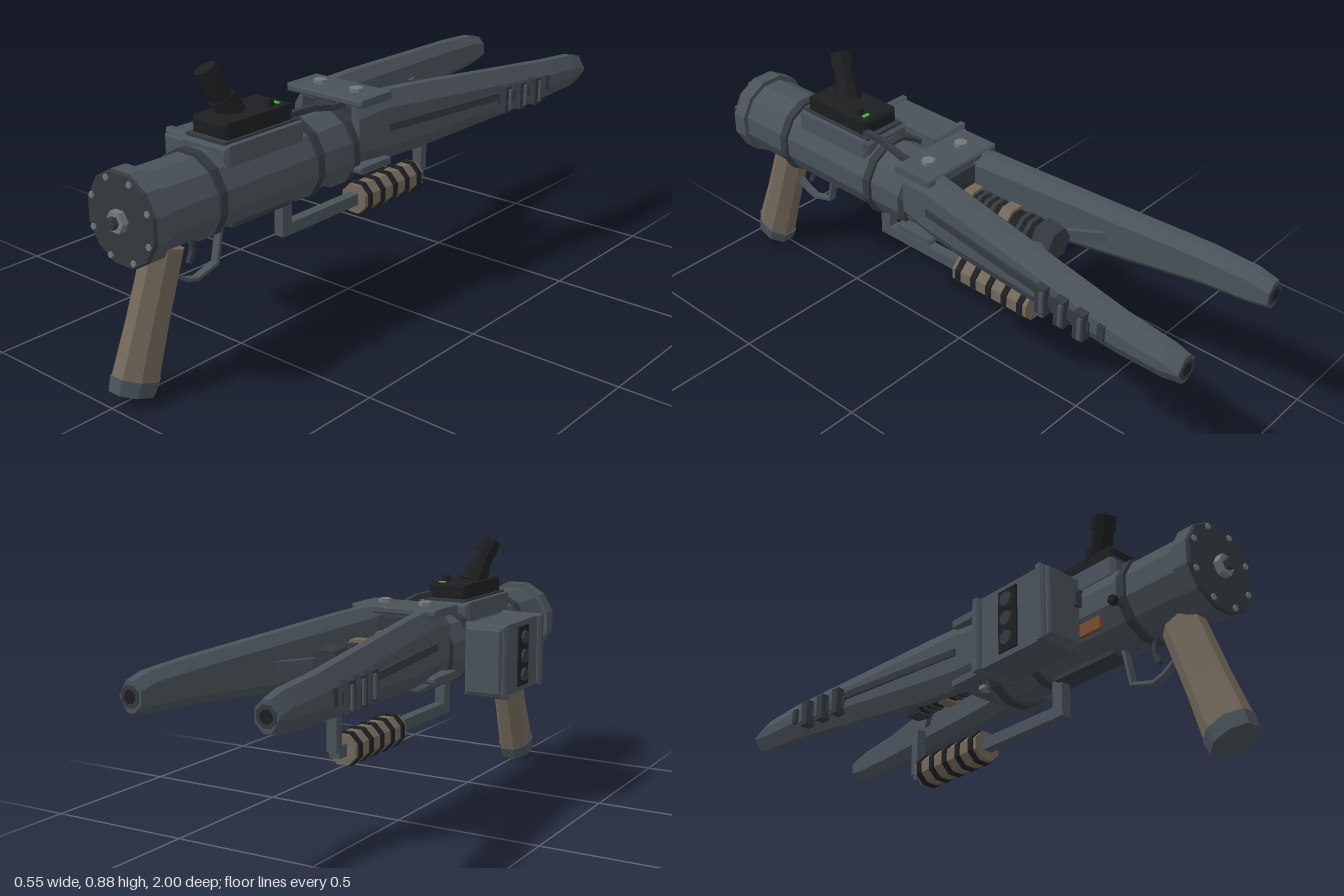
import * as THREE from 'three';

const mat = (color) => new THREE.MeshStandardMaterial({ color, flatShading: true });
const steel = mat(0x4a525a), dark = mat(0x34393f), black = mat(0x1c1e20);
const tan = mat(0x72675a), bolt = mat(0x74787a), copper = mat(0x7a4a2e), green = mat(0x33cc22);
const AXIS_Y = 0.54; // height of the barrel axis

export function createModel() {
  const model = new THREE.Group();
  model.name = 'launcher';
  model.position.x = 0.006;

  const add = (name, geo, material, x = 0, y = 0, z = 0, parent = model) => {
    const m = new THREE.Mesh(geo, material);
    m.name = name;
    m.position.set(x, y, z);
    parent.add(m);
    return m;
  };
  const box = (name, material, w, h, d, x, y, z) => add(name, new THREE.BoxGeometry(w, h, d), material, x, y, z);
  // Prism along z between z0 (rear) and z1, flat side down, r = distance to the flats
  const prismZ = (name, material, r0, r1, z0, z1, n, x = 0, y = AXIS_Y) => {
    const k = 1 / Math.cos(Math.PI / n);
    const g = new THREE.CylinderGeometry(r0 * k, r1 * k, z0 - z1, n).rotateY(Math.PI / n).rotateX(Math.PI / 2);
    return add(name, g, material, x, y, (z0 + z1) / 2);
  };
  // Square bar from p to q
  const bar = (name, material, p, q, w, h) => {
    const a = new THREE.Vector3(...p), b = new THREE.Vector3(...q);
    const m = new THREE.Mesh(new THREE.BoxGeometry(w, h, a.distanceTo(b) + Math.min(w, h) * 0.5), material);
    m.name = name;
    m.position.copy(a).lerp(b, 0.5);
    m.lookAt(b);
    model.add(m);
  };
  const path = (name, material, pts, w, h) => {
    for (let i = 0; i + 1 < pts.length; i++) bar(name, material, pts[i], pts[i + 1], w, h);
  };
  // Box with bevelled edges, extruded along z
  const bevelBox = (name, material, w, h, d, b, x, y, z) => {
    const W = w / 2 - b, H = h / 2 - b;
    const s = new THREE.Shape([[-W, -H], [W, -H], [W, H], [-W, H]].map((p) => new THREE.Vector2(...p)));
    const g = new THREE.ExtrudeGeometry(s, { depth: d - 2 * b, bevelSize: b, bevelThickness: b, bevelSegments: 1 });
    return add(name, g.translate(0, 0, b - d / 2), material, x, y, z);
  };

  // Main tube with rings
  prismZ('bodyTube', steel, 0.12, 0.12, 0.89, 0.08, 12);
  prismZ('rearFlange', steel, 0.135, 0.135, 0.925, 0.875, 12);
  prismZ('rearFace', dark, 0.13, 0.135, 0.934, 0.925, 12);
  for (const z of [0.68, 0.28]) prismZ('bodyRing', dark, 0.13, 0.13, z + 0.014, z - 0.014, 12);
  prismZ('forwardFlange', dark, 0.132, 0.132, 0.135, 0.105, 12);
  for (let i = 0; i < 8; i++) {
    const a = Math.PI / 8 + (i * Math.PI) / 4;
    prismZ('flangeBolt', bolt, 0.008, 0.008, 0.94, 0.93, 6, Math.cos(a) * 0.12, AXIS_Y + Math.sin(a) * 0.12);
  }
  prismZ('rearNut', bolt, 0.029, 0.029, 0.955, 0.93, 6);
  prismZ('rearStud', dark, 0.016, 0.016, 0.972, 0.95, 6);
  box('undersideRail', dark, 0.07, 0.02, 0.24, 0, 0.418, 0.44);

  // Pistol grip with end cap, tilted backwards
  const grip = new THREE.Group();
  grip.name = 'grip';
  grip.position.set(0, 0.026, 0.93);
  grip.rotation.x = -0.34;
  model.add(grip);
  const gripPart = (name, material, r0, r1, y0, y1) => {
    const g = new THREE.CylinderGeometry(r1, r0, y1 - y0, 8).rotateY(Math.PI / 8);
    add(name, g.scale(1.08, 1, 1.38), material, 0, (y0 + y1) / 2, 0, grip);
  };
  gripPart('gripCap', steel, 0.054, 0.058, 0, 0.045);
  gripPart('gripHandle', tan, 0.055, 0.05, 0.045, 0.2);
  gripPart('gripHandle', tan, 0.05, 0.048, 0.2, 0.42);

  // Trigger guard and trigger
  path('triggerGuard', steel, [[0, 0.325, 0.765], [0, 0.295, 0.72], [0, 0.282, 0.68], [0, 0.305, 0.6], [0, 0.42, 0.577]], 0.026, 0.01);
  path('trigger', dark, [[0, 0.42, 0.69], [0, 0.37, 0.685], [0, 0.34, 0.7]], 0.014, 0.014);

  // Foregrip on its bent carrier
  box('carrierRearPost', steel, 0.035, 0.13, 0.04, 0, 0.365, 0.312);
  box('carrierBar', steel, 0.035, 0.038, 0.7, 0, 0.318, -0.018);
  box('carrierFrontPost', steel, 0.035, 0.16, 0.03, 0, 0.4, -0.367);
  prismZ('foregrip', tan, 0.047, 0.047, -0.02, -0.325, 8, 0, 0.316);
  for (let i = 0; i < 5; i++) {
    const z = -0.045 - i * 0.064;
    prismZ('foregripRing', black, 0.052, 0.052, z + 0.01, z - 0.01, 8, 0, 0.316);
  }

  // Yoke holding the two prongs
  box('yokeCore', dark, 0.2, 0.18, 0.13, 0, 0.585, 0.045);
  bevelBox('yokeTopPlate', steel, 0.305, 0.025, 0.15, 0.006, 0, 0.695, 0.052);
  bevelBox('yokeBottomPlate', steel, 0.305, 0.022, 0.15, 0.006, 0, 0.484, 0.052);
  for (const s of [-1, 1]) for (const y of [0.711, 0.47]) {
    add('yokeBolt', new THREE.CylinderGeometry(0.022, 0.022, 0.018, 6), bolt, s * 0.073, y, 0.055);
  }

  // Prongs: [z, inner x, outer x, bottom y, top y, chamfer]
  const sections = [
    [0.11, 0.04, 0.132, 0.49, 0.69, 0.03],
    [-0.01, 0.055, 0.148, 0.48, 0.702, 0.03],
    [-0.15, 0.075, 0.168, 0.48, 0.697, 0.032],
    [-0.79, 0.166, 0.252, 0.525, 0.655, 0.028],
    [-0.94, 0.176, 0.256, 0.532, 0.645, 0.026],
    [-1.0, 0.18, 0.253, 0.543, 0.63, 0.025],
  ];
  for (const s of [-1, 1]) {
    const rings = sections.map(([z, a, b, lo, hi, c]) => {
      const r = [[b - c, lo], [b, lo + c * 1.6], [b, hi - c * 1.6], [b - c, hi], [a + c, hi], [a, hi - c], [a, lo + c], [a + c, lo]];
      const v = r.map(([x, y]) => new THREE.Vector3(s * x, y, z));
      return s > 0 ? v : v.reverse();
    });
    add('prong', loft(rings), steel);
    prismZ('prongMuzzle', dark, 0.03, 0.03, -0.96, -1.002, 8, s * 0.2165, 0.587);
    prismZ('prongBore', black, 0.018, 0.018, -0.96, -1.004, 8, s * 0.2165, 0.587);
    bar('prongRib', dark, [s * 0.148, 0.592, -0.01], [s * 0.218, 0.592, -0.5], 0.012, 0.024);
    // Cooling fins on the outer face
    for (const z of [-0.53, -0.605, -0.68]) {
      const x = 0.168 + (0.084 * (-0.15 - z)) / 0.64;
      box('fin', dark, 0.035, 0.09, 0.035, s * (x + 0.007), 0.578, z);
      box('finRidge', steel, 0.018, 0.07, 0.012, s * (x + 0.023), 0.578, z - 0.008);
    }
    box('finLink', dark, 0.014, 0.035, 0.2, s * 0.227, 0.578, -0.605).rotation.y = -s * 0.13;
    box('sideCatch', dark, 0.016, 0.05, 0.022, s * 0.248, 0.59, -0.75);
    // Struts to the centre emitter
    bar('emitterStrut', steel, [s * 0.03, 0.585, -0.34], [s * 0.125, 0.585, -0.48], 0.016, 0.03);
  }

  // Emitter between the prongs
  prismZ('emitterCore', black, 0.042, 0.042, 0.0, -0.36, 8, 0, 0.585);
  for (const [z0, z1] of [[0.03, 0], [-0.05, -0.085], [-0.2, -0.24]]) prismZ('emitterBand', tan, 0.052, 0.052, z0, z1, 8, 0, 0.585);
  for (const z of [-0.11, -0.14, -0.17, -0.28, -0.31]) prismZ('emitterRing', dark, 0.048, 0.048, z + 0.007, z - 0.007, 8, 0, 0.585);
  prismZ('emitterCap', dark, 0.052, 0.045, -0.34, -0.405, 6, 0, 0.585);

  // Control box with tilted eyepiece on a mounting saddle
  bevelBox('saddle', steel, 0.19, 0.06, 0.32, 0.012, 0, 0.652, 0.47);
  box('saddleTop', dark, 0.155, 0.012, 0.3, 0, 0.683, 0.47);
  bevelBox('controlBox', black, 0.14, 0.052, 0.27, 0.008, 0, 0.711, 0.47);
  const eyepiece = new THREE.Group();
  eyepiece.name = 'eyepiece';
  eyepiece.position.set(-0.016, 0.725, 0.5);
  eyepiece.quaternion.setFromUnitVectors(new THREE.Vector3(0, 1, 0), new THREE.Vector3(-0.035, 0.14, 0.064).normalize());
  model.add(eyepiece);
  for (const [name, r0, r1, y0, y1] of [['eyeCollar', 0.046, 0.041, 0, 0.06], ['eyeTube', 0.034, 0.034, 0.06, 0.12], ['eyeCup', 0.039, 0.036, 0.115, 0.16]]) {
    add(name, new THREE.CylinderGeometry(r1, r0, y1 - y0, 8), black, 0, (y0 + y1) / 2, 0, eyepiece);
  }
  add('dial', new THREE.CylinderGeometry(0.014, 0.017, 0.022, 6), black, 0.035, 0.746, 0.4);
  box('indicatorLamp', green, 0.024, 0.005, 0.01, 0.034, 0.738, 0.368);
  path('cable', dark, [[0.06, 0.7, 0.36], [0.068, 0.7, 0.25], [0.075, 0.685, 0.17], [0.07, 0.68, 0.1]], 0.018, 0.018);

  // Side case with rims, knobs and latch
  bevelBox('sideCase', steel, 0.13, 0.235, 0.31, 0.008, -0.202, 0.513, 0.37);
  for (const z of [0.235, 0.505]) bevelBox('caseRim', steel, 0.15, 0.243, 0.035, 0.008, -0.204, 0.513, z);
  for (const z of [0.216, 0.524]) bevelBox('caseEndPanel', steel, 0.125, 0.218, 0.026, 0.006, -0.204, 0.513, z);
  box('knobStrip', black, 0.01, 0.2, 0.075, -0.268, 0.513, 0.37);
  for (const y of [0.45, 0.513, 0.576]) {
    add('caseKnob', new THREE.CylinderGeometry(0.023, 0.023, 0.014, 8).rotateZ(Math.PI / 2), dark, -0.275, y, 0.37);
  }
  box('caseLatch', dark, 0.025, 0.04, 0.02, -0.16, 0.543, 0.54);
  box('caseBracket', dark, 0.06, 0.12, 0.22, -0.115, 0.55, 0.4);
  bar('feedStrip', copper, [-0.128, 0.46, 0.6], [-0.128, 0.46, 0.36], 0.012, 0.04);

  // Charging handle
  add('chargingHandle', new THREE.CylinderGeometry(0.009, 0.009, 0.06, 6).rotateZ(Math.PI / 2), dark, -0.135, 0.485, 0.68);
  add('chargingKnob', new THREE.CylinderGeometry(0.015, 0.015, 0.018, 6).rotateZ(Math.PI / 2), black, -0.16, 0.485, 0.68);

  const root = new THREE.Group();
  root.add(model);
  return root;
}

// Skin a run of counter-clockwise rings going towards -z, with flat end caps
function loft(rings) {
  const pos = [], n = rings[0].length, last = rings[rings.length - 1];
  const tri = (...v) => v.forEach((p) => pos.push(p.x, p.y, p.z));
  for (let i = 0; i + 1 < rings.length; i++) for (let j = 0; j < n; j++) {
    const k = (j + 1) % n, A = rings[i], B = rings[i + 1];
    tri(A[j], B[j], B[k]);
    tri(A[j], B[k], A[k]);
  }
  for (let j = 1; j + 1 < n; j++) {
    tri(rings[0][0], rings[0][j], rings[0][j + 1]);
    tri(last[0], last[j + 1], last[j]);
  }
  const g = new THREE.BufferGeometry();
  g.setAttribute('position', new THREE.Float32BufferAttribute(pos, 3));
  g.computeVertexNormals();
  return g;
}
